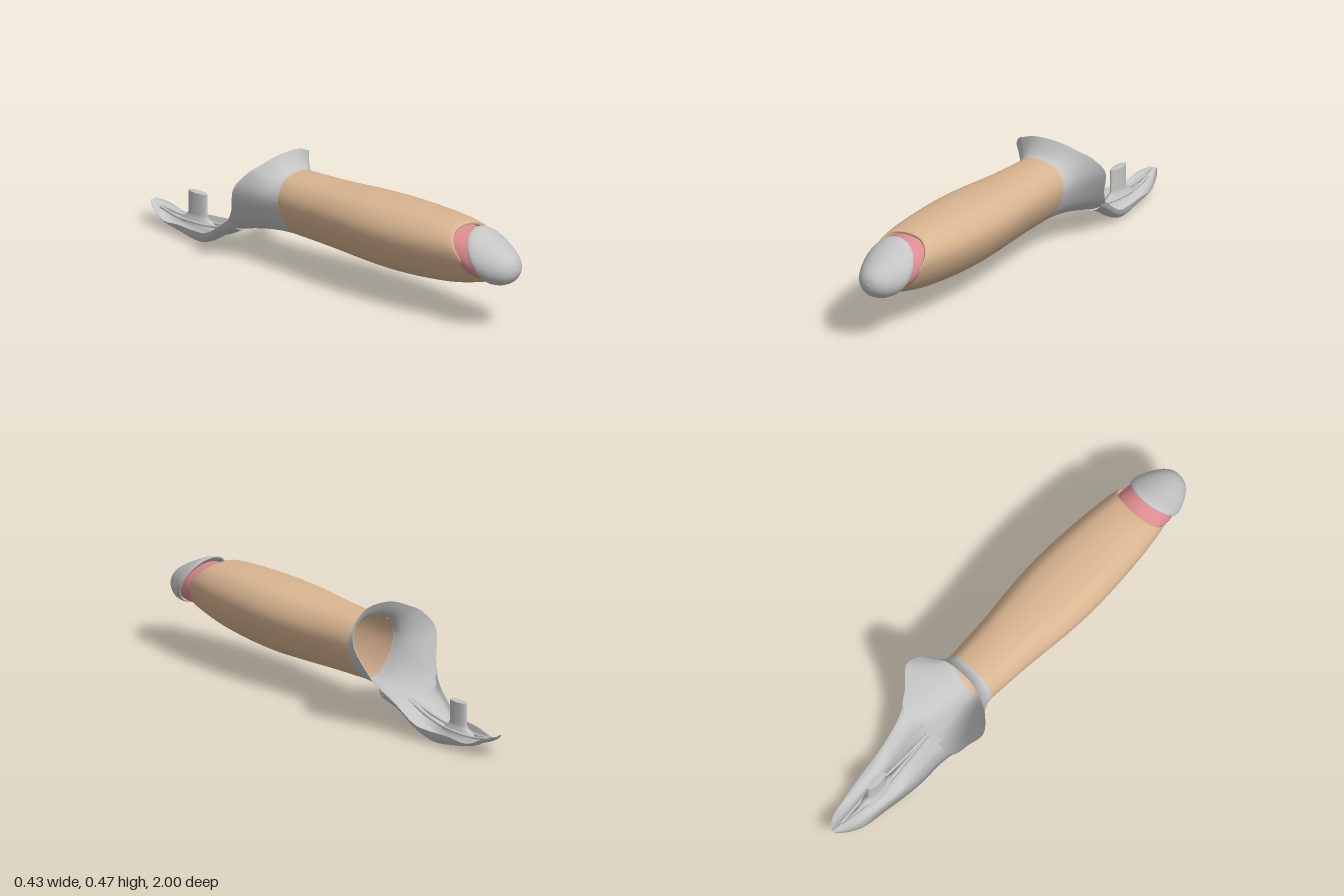
import * as THREE from 'three';

const mat = (name, color) => {
  const m = new THREE.MeshStandardMaterial({ color, side: THREE.DoubleSide });
  m.name = name;
  return m;
};
const V = (x, y, z) => new THREE.Vector3(x, y, z);

// Half outlines from top centre to bottom centre: [x share, y share]
const EGG = [[0, 1], [0.4, 0.98], [0.7, 0.92], [0.93, 0.78], [1, 0.62], [0.9, 0.42], [0.64, 0.2], [0.3, 0.04], [0, 0]];
const ROUND = EGG.map((_, i) => [Math.sin(i * Math.PI / 8), 0.5 + 0.5 * Math.cos(i * Math.PI / 8)]);

// Half section from [z at top, slant, half width, top, bottom]
const section = (outline, [z, slant, w, top, bottom]) =>
  outline.map(([u, v]) => V(u * w, bottom + (top - bottom) * v, z + slant * (1 - v)));

// Mirrors half sections in x and lofts a smooth skin through them
function loft(name, halves, material, closed = true, nu = 48, nv = 28) {
  const rows = halves.map(h => {
    const other = h.slice(closed ? 1 : 0, -1).reverse().map(p => V(-p.x, p.y, p.z));
    const curve = new THREE.CatmullRomCurve3([...h, ...other], closed, 'catmullrom', 0.5);
    return Array.from({ length: nu + 1 }, (_, i) => curve.getPoint(closed ? (i % nu) / nu : i / nu));
  });
  const columns = rows[0].map((_, i) => new THREE.CatmullRomCurve3(rows.map(r => r[i]), false, 'catmullrom', 0.5));
  const stride = closed ? nu : nu + 1;
  const pos = [], index = [];
  for (let j = 0; j <= nv; j++)
    for (let i = 0; i < stride; i++) pos.push(...columns[i].getPoint(j / nv).toArray());
  for (let j = 0; j < nv; j++)
    for (let i = 0; i < nu; i++) {
      const a = j * stride + i, b = j * stride + (i + 1) % stride, c = a + stride, d = b + stride;
      index.push(a, c, b, b, c, d);
    }
  const g = new THREE.BufferGeometry();
  g.setAttribute('position', new THREE.Float32BufferAttribute(pos, 3));
  g.setIndex(index);
  g.computeVertexNormals();
  const mesh = new THREE.Mesh(g, material);
  mesh.name = name;
  return mesh;
}

export function createModel() {
  const group = new THREE.Group();
  const tan = mat('tan', 0xd9b591), pink = mat('pink', 0xdd8c90), grey = mat('grey', 0xc4c4c4);

  // Shaft: open tube, slanted at the front with a turned-in lip
  const shaft = [
    [-0.2, 0, 0.118, 0.4, 0.14], [0, 0, 0.13, 0.405, 0.135], [0.2, 0, 0.15, 0.415, 0.127],
    [0.35, 0, 0.156, 0.42, 0.124], [0.5, 0.02, 0.15, 0.42, 0.133], [0.62, 0.08, 0.138, 0.417, 0.155],
    [0.715, 0.14, 0.12, 0.409, 0.195], [0.722, 0.135, 0.108, 0.396, 0.208],
  ];
  group.add(loft('shaft', shaft.map(r => section(EGG, r)), tan));

  // Collar between shaft and tip
  const collar = [[0.7, 0.14, 0.11, 0.4, 0.205], [0.75, 0.13, 0.108, 0.39, 0.205], [0.81, 0.1, 0.1, 0.385, 0.21]];
  group.add(loft('collar', collar.map(r => section(ROUND, r)), pink, true, 48, 8));

  // Rounded tip with a raised rim
  const tip = [
    [0.805, 0.11, 0.09, 0.385, 0.21], [0.785, 0.12, 0.106, 0.408, 0.2], [0.81, 0.1, 0.112, 0.406, 0.196],
    [0.86, 0.06, 0.106, 0.385, 0.197], [0.92, 0.02, 0.09, 0.357, 0.2], [0.97, 0, 0.064, 0.327, 0.214],
    [0.993, 0, 0.034, 0.3, 0.24], [1, 0, 0.002, 0.272, 0.268],
  ];
  group.add(loft('tip', tip.map(r => section(ROUND, r)), grey));

  // Flared base: from the shaft's rear ring out to the rim
  const ring = section(EGG, shaft[0]);
  const rim = [
    [0, 0.47, -0.26], [0.07, 0.463, -0.265], [0.135, 0.437, -0.285], [0.18, 0.41, -0.31], [0.213, 0.343, -0.355],
    [0.175, 0.235, -0.4], [0.14, 0.155, -0.45], [0.07, 0.115, -0.45], [0, 0.11, -0.45],
  ].map(p => V(...p));
  const flare = [0, 0.25, 0.5, 0.75, 1].map(t => ring.map((p, i) => {
    const e = t ** 1.8, q = rim[i];
    return V(p.x + (q.x - p.x) * e, p.y + (q.y - p.y) * e, p.z + (q.z - p.z) * t);
  }));
  group.add(loft('flaredBase', flare, grey, true, 64, 16));

  // Tail: two lobes and a central crease; [z, half width, edge y, lobe y, crease y]
  const tail = [
    [-0.43, 0.15, 0.185, 0.118, 0.119], [-0.5, 0.125, 0.135, 0.09, 0.1], [-0.6, 0.11, 0.07, 0.028, 0.06],
    [-0.68, 0.1, 0.058, 0.002, 0.055], [-0.78, 0.085, 0.055, 0.012, 0.055], [-0.88, 0.068, 0.045, 0.03, 0.048],
    [-0.95, 0.048, 0.075, 0.06, 0.07], [-1, 0.015, 0.092, 0.088, 0.09],
  ].map(([z, w, edge, lobe, crease]) => [
    V(w, edge, z), V(w * 0.88, lobe + (edge - lobe) * 0.4, z), V(w * 0.58, lobe, z),
    V(w * 0.25, lobe + (crease - lobe) * 0.35, z), V(0, crease, z),
  ]);
  // The mirrored half repeats every point but the centre one
  group.add(loft('tail', tail, grey, false, 48, 28));

  // Pair of thin folds along the crease
  for (const s of [-1, 1]) {
    const path = [[0.008, 0.112, -0.45], [0.014, 0.075, -0.58], [0.018, 0.06, -0.66], [0.026, 0.058, -0.75],
      [0.016, 0.055, -0.85], [0.006, 0.07, -0.95]].map(([x, y, z]) => V(s * x, y, z));
    const fold = new THREE.Mesh(new THREE.TubeGeometry(new THREE.CatmullRomCurve3(path), 40, 0.006, 8), grey);
    fold.name = s > 0 ? 'leftFold' : 'rightFold';
    group.add(fold);
  }

  // Upright tab, oval in plan, widening into the tail
  const profile = [[0.1, 0.045], [0.085, 0.06], [0.06, 0.075], [0.05, 0.09], [0.05, 0.178], [0.05, 0.18], [0, 0.18]];
  const tab = new THREE.Mesh(new THREE.LatheGeometry(profile.map(p => new THREE.Vector2(...p)), 28), grey);
  tab.name = 'tab';
  tab.scale.x = 0.32;
  tab.position.z = -0.75;
  group.add(tab);

  return group;
}
